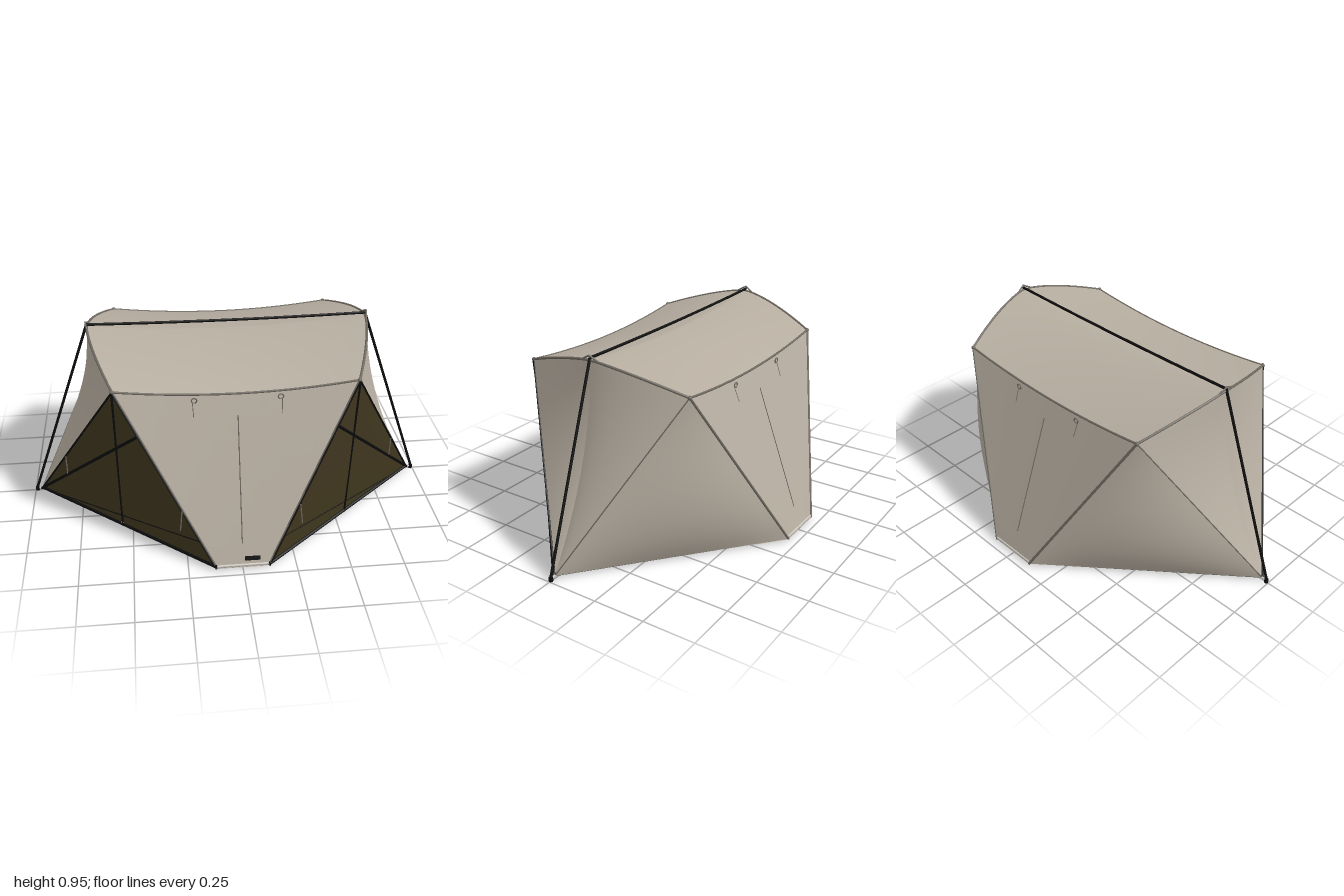
import * as THREE from 'three';
import { mergeVertices } from 'three/addons/utils/BufferGeometryUtils.js';

const V = (x, y, z) => new THREE.Vector3(x, y, z);
const lerp = (a, b, t) => a.clone().lerp(b, t);

// Smooth sheet from a rule fn(u, v), u and v in 0..1
function sheet(fn, nu = 14, nv = 14) {
  const pos = [], idx = [];
  for (let j = 0; j <= nv; j++) for (let i = 0; i <= nu; i++) pos.push(...fn(i / nu, j / nv).toArray());
  for (let j = 0; j < nv; j++) for (let i = 0; i < nu; i++) {
    const a = j * (nu + 1) + i, b = a + 1, c = a + nu + 1, d = c + 1;
    idx.push(a, b, d, a, d, c);
  }
  let g = new THREE.BufferGeometry();
  g.setAttribute('position', new THREE.Float32BufferAttribute(pos, 3));
  g.setIndex(idx);
  g = mergeVertices(g, 1e-5);
  g.computeVertexNormals();
  return g;
}

// Roof surface: u -1..1 across x, w -1..1 across z
const roofPoint = (u, w) => {
  const a = Math.abs(w);
  return V(u * (0.665 - 0.115 * a ** 1.5), 0.925 - 0.115 * a ** 1.4 - 0.037 * (1 - u * u), 0.43 * w);
};

export function createModel() {
  const tent = new THREE.Group();
  tent.name = 'tent';
  const mat = (name, color, double) => {
    const m = new THREE.MeshStandardMaterial({ color });
    m.name = name;
    if (double) m.side = THREE.DoubleSide;
    return m;
  };
  const canvas = mat('canvas', 0xb6ada0, true);
  const door = mat('darkMesh', 0x41381f, true);
  const floorMat = mat('groundsheet', 0x4b4f42, true);
  const black = mat('blackPole', 0x0c0c0c);
  const seam = mat('seam', 0x6f6a61);
  const pale = mat('paleFitting', 0xc9c6bf);

  const add = (name, geo, material) => {
    const m = new THREE.Mesh(geo, material);
    m.name = name;
    tent.add(m);
    return m;
  };
  const rod = (name, a, b, r, material) => {
    const m = add(name, new THREE.CylinderGeometry(r, r, a.distanceTo(b), 8), material);
    m.position.copy(lerp(a, b, 0.5));
    m.quaternion.setFromUnitVectors(V(0, 1, 0), b.clone().sub(a).normalize());
    return m;
  };
  const piping = (name, fn, r, material) => {
    const pts = Array.from({ length: 13 }, (_, i) => fn(i / 12));
    add(name, new THREE.TubeGeometry(new THREE.CatmullRomCurve3(pts), 24, r, 6), material);
  };

  // Groundsheet
  const outline = [[0.97, 0], [0.12, 0.71], [-0.12, 0.71], [-0.97, 0], [-0.12, -0.71], [0.12, -0.71]];
  const floorShape = new THREE.Shape(outline.map(([x, z]) => new THREE.Vector2(x, -z)));
  const floor = add('groundsheet', new THREE.ShapeGeometry(floorShape), floorMat);
  floor.rotation.x = -Math.PI / 2;
  floor.position.y = 0.013;

  // Canvas flaps folded under the short ends
  for (const [s, t] of [[1, 0.16], [-1, 0.11]]) {
    const tip = lerp(V(0.12, 0.009, -0.71), V(0.97, 0.009, 0), t);
    const a = V(0.12, 0.009, -0.71), b = V(-0.12, 0.009, -0.71);
    const flap = add('foldedFlap', sheet((u, v) => lerp(lerp(a, b, u), tip, v), 1, 1), canvas);
    flap.rotation.y = s > 0 ? 0 : Math.PI;
  }

  for (const f of [1, -1]) {
    // Roof half, end wall and eave seam
    add('roof', sheet((u, v) => roofPoint(u * 2 - 1, v * f), 24, 10), canvas);
    const wall = (u, v) => lerp(roofPoint(u, f), V(0.12 * u, 0.012, 0.71 * f), v);
    add('endWall', sheet((u, v) => wall(u * 2 - 1, v), 20, 8), canvas);
    piping('eaveSeam', t => roofPoint(t * 2 - 1, f), 0.005, seam);
    rod('wallZip', wall(0, 0.12), wall(0, 0.86), 0.0025, seam);
    rod('wallHem', V(-0.12, 0.02, 0.705 * f), V(0.12, 0.02, 0.705 * f), 0.006, pale);

    for (const s of [1, -1]) {
      const eave = roofPoint(s, f);
      const side = V(0.965 * s, 0.012, 0);
      const foot = V(0.12 * s, 0.012, 0.71 * f);

      // Side wall fanning from the roof edge to the ground corner, drawn inwards
      add('sideWall', sheet((u, v) => {
        const p = lerp(roofPoint(s, u * f), side, v);
        p.x -= s * 0.28 * v * (1 - v) * (1 - u);
        return p;
      }), canvas);

      // Corner panel: flat dark mesh in front, full canvas behind
      const out = side.clone().sub(eave).cross(foot.clone().sub(eave)).normalize();
      if (out.z * f < 0) out.negate();
      const bulge = f > 0 ? 0.004 : 0.055;
      add(f > 0 ? 'meshDoor' : 'cornerPanel', sheet((u, v) => {
        const a = v, b = (1 - v) * u, c = (1 - v) * (1 - u);
        return lerp(lerp(side, foot, u), eave, v).addScaledVector(out, bulge * 27 * a * b * c);
      }, 18, 18), f > 0 ? door : canvas);

      // Seams round the panel and roof end
      piping('roofEndSeam', t => roofPoint(s, t * f), 0.006, seam);
      rod('wallSeam', eave, foot, 0.006, seam);
      rod('sideSeam', eave, side, f > 0 ? 0.005 : 0.003, f > 0 ? black : seam);
      const knob = add('cornerKnob', new THREE.SphereGeometry(0.01, 8, 6), seam);
      knob.position.copy(eave);

      // Door zips, brace strap and lower hem
      if (f > 0) {
        const lift = p => p.clone().addScaledVector(out, 0.004);
        rod('doorEdge', lift(eave), lift(foot), 0.005, black);
        rod('doorZip', lift(eave), lift(lerp(side, foot, 0.495)), 0.005, black);
        rod('doorStrap', lift(lerp(eave, foot, 0.24)), lift(side), 0.007, black);
        rod('doorHem', lift(lerp(side, foot, 0.01)).setY(0.02), lift(foot).setY(0.024), 0.008, black);
        rod('doorFold', lift(lerp(foot, eave, 0.16)), lift(side), 0.0025, black);
        rod('zipPull', lift(lerp(side, foot, 0.495)), lift(lerp(side, foot, 0.495)).setY(0.05), 0.006, pale);
        rod('doorTie', V(0.28 * s, 0.19, 0.64), V(0.27 * s, 0.29, 0.63), 0.003, seam);
        rod('outerTie', V(0.81 * s, 0.2, 0.16), V(0.81 * s, 0.31, 0.165), 0.003, seam);
      }

      // Small hanging loop below the eave
      const loop = add('eaveLoop', new THREE.TorusGeometry(0.012, 0.003, 5, 12), seam);
      loop.position.copy(wall(0.36 * s, 0.03)).add(V(0, 0, 0.006 * f));
      rod('loopTie', wall(0.38 * s, 0.05), wall(0.4 * s, 0.13), 0.002, seam);
    }
  }

  // Outer frame: ridge pole, two legs, feet and end fittings
  const top = 0.935;
  piping('ridgePole', t => V((t * 2 - 1) * 0.67, top - 0.008 * (1 - (t * 2 - 1) ** 2), 0), 0.0065, black);
  for (const s of [1, -1]) {
    rod('poleLeg', V(0.665 * s, top, 0), V(0.993 * s, 0.01, 0), 0.0065, black);
    rod('poleFoot', V(0.99 * s, 0, 0), V(0.99 * s, 0.02, 0), 0.01, black);
    rod('cornerStrap', V(0.96 * s, 0.014, 0), V(0.99 * s, 0.012, 0), 0.006, pale);
    for (const f of [1, -1]) rod('ridgeFitting', V(0.67 * s, 0.948, 0), V(0.66 * s, 0.922, 0.045 * f), 0.004, seam);
  }

  // Small dark tab on the front hem
  const tab = add('hemTab', new THREE.BoxGeometry(0.07, 0.018, 0.008), black);
  tab.position.set(0.045, 0.052, 0.7);
  tab.rotation.x = -0.35;
  return tent;
}
